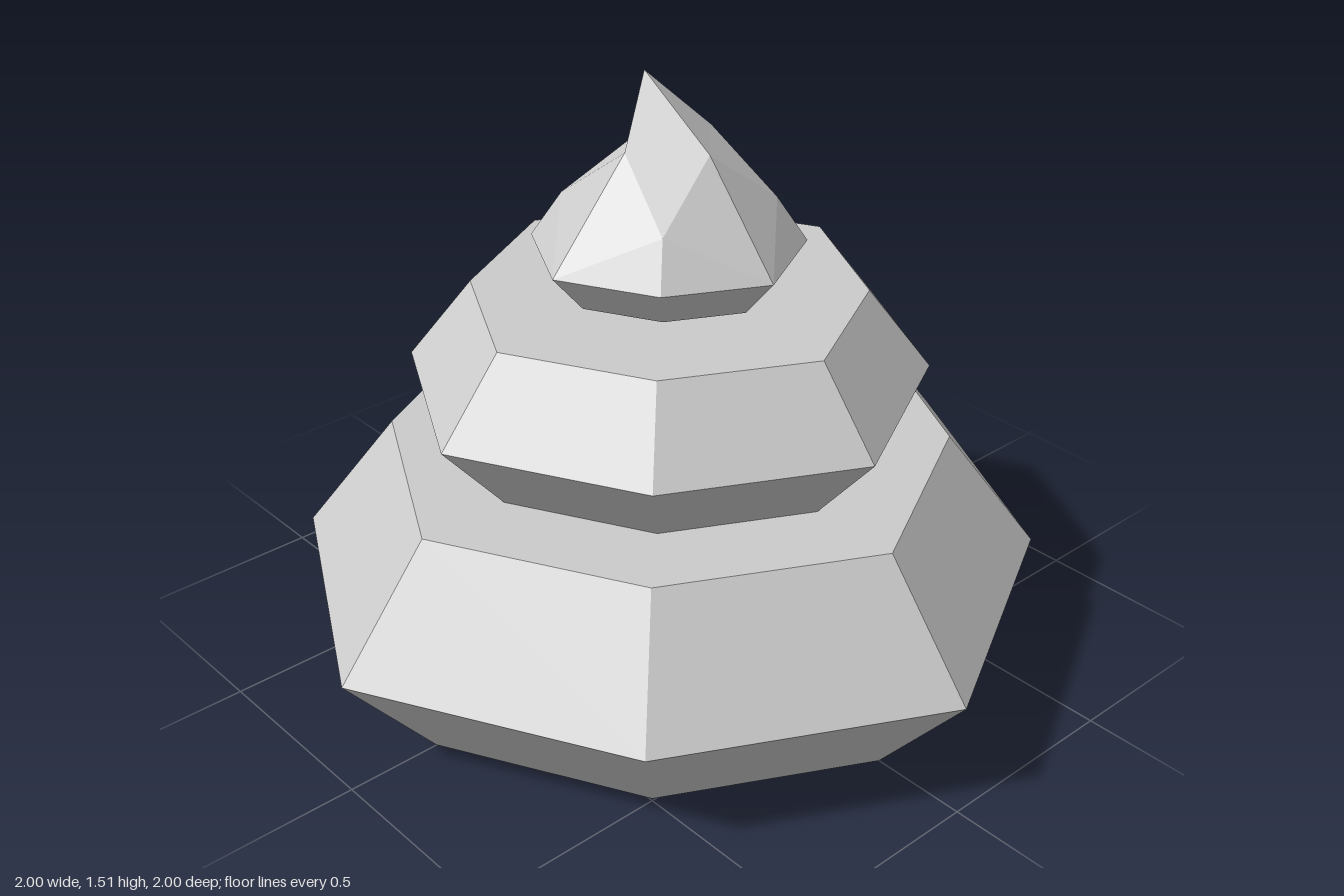
import * as THREE from 'three';

const material = new THREE.MeshStandardMaterial({ color: 0xcccccc, flatShading: true });
const DIAGONAL = 0.927; // diagonal corners sit slightly inside the circle

// Eight-sided layer turned from a bottom-to-top [radius, height] profile
function layer(name, profile) {
  const geo = new THREE.LatheGeometry(profile.map(([r, y]) => new THREE.Vector2(r, y)), 8);
  const pos = geo.attributes.position;
  for (let i = 0; i < pos.count; i++) {
    const x = pos.getX(i), z = pos.getZ(i);
    if (Math.min(Math.abs(x), Math.abs(z)) > 0.01) pos.setXYZ(i, x * DIAGONAL, pos.getY(i), z * DIAGONAL);
  }
  geo.computeVertexNormals();
  const mesh = new THREE.Mesh(geo, material);
  mesh.name = name;
  return mesh;
}

// Faceted peak, bent over towards -x, with a hollow fold on that side
function peak() {
  const rim = [];
  for (let k = 0; k < 8; k++) {
    const a = k * Math.PI / 4, r = 0.355 * (k % 2 ? DIAGONAL : 1);
    rim.push([r * Math.sin(a), 1.12, r * Math.cos(a)]);
  }
  const shoulder = [[0.18, 1.23, 0.18], [0.18, 1.23, -0.18], [-0.18, 1.23, -0.18], [-0.18, 1.23, 0.18]];
  const crown = [[0, 1.37, 0.135], [0.14, 1.37, 0], [0, 1.37, -0.135], [-0.088, 1.37, 0]];
  const tip = [-0.085, 1.515, 0];
  const verts = [];
  const tri = (...corners) => corners.forEach((c) => verts.push(...c));

  for (let q = 0; q < 4; q++) {
    const next = (q + 1) % 4, prev = (q + 3) % 4;
    // from the rim up to the shoulder corner
    tri(rim[2 * q], rim[2 * q + 1], shoulder[q]);
    tri(rim[2 * q + 1], rim[(2 * q + 2) % 8], shoulder[q]);
    // side panel: folded outward, except the hollow one
    if (q === 3) {
      tri(rim[6], shoulder[3], shoulder[2]);
      tri(shoulder[2], shoulder[3], crown[3]);
    } else {
      tri(rim[2 * q], shoulder[q], crown[q]);
      tri(rim[2 * q], crown[q], shoulder[prev]);
    }
    // shoulder to crown, crown to tip
    tri(shoulder[q], crown[next], crown[q]);
    tri(crown[q], crown[next], tip);
  }
  const geo = new THREE.BufferGeometry();
  geo.setAttribute('position', new THREE.Float32BufferAttribute(verts, 3));
  geo.computeVertexNormals();
  const mesh = new THREE.Mesh(geo, material);
  mesh.name = 'peak';
  return mesh;
}

export function createModel() {
  const group = new THREE.Group();
  group.name = 'swirl';
  group.add(
    layer('bottomLayer', [[0, 0], [0.755, 0], [1, 0.297], [0.755, 0.594], [0, 0.594]]),
    layer('middleLayer', [[0, 0.594], [0.52, 0.594], [0.688, 0.792], [0.52, 0.992], [0, 0.992]]),
    layer('topLayerBase', [[0, 1.018], [0.268, 1.018], [0.355, 1.12]]),
    peak(),
  );
  return group;
}
